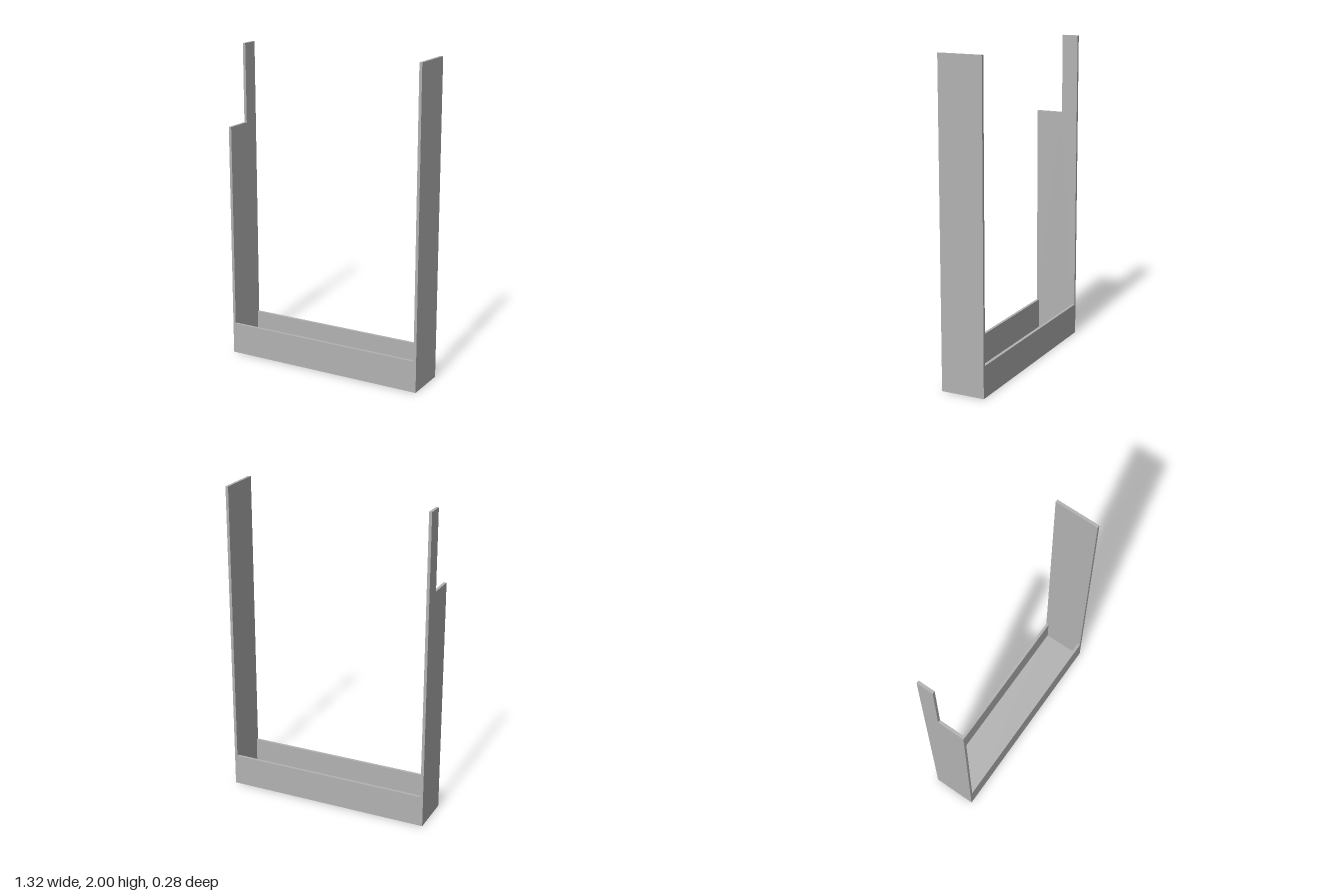
import * as THREE from 'three';

const HALF_W = 0.658, HALF_D = 0.14; // outer half width and half depth
const T = 0.018;                     // board thickness
const FLOOR = 0.005;                 // floor sheet thickness
const RAIL_TOP = 0.2, TOP = 2;

export function createModel() {
  const group = new THREE.Group();
  group.name = 'openFrame';
  const grey = new THREE.MeshStandardMaterial({ color: 0xb3b3b3 });
  grey.name = 'grey board';

  const add = (name, geometry, x, y, z) => {
    const mesh = new THREE.Mesh(geometry, grey);
    mesh.name = name;
    mesh.position.set(x, y, z);
    group.add(mesh);
  };

  // Floor sheet under the whole frame
  add('floor', new THREE.BoxGeometry(2 * HALF_W, FLOOR, 2 * HALF_D), 0, FLOOR / 2, 0);

  // Low front and back rails
  const railH = RAIL_TOP - FLOOR;
  for (const [name, side] of [['frontRail', 1], ['backRail', -1]]) {
    add(name, new THREE.BoxGeometry(2 * HALF_W, railH, T), 0, FLOOR + railH / 2, side * (HALF_D - T / 2));
  }

  // Tall side panels: outline in (z, y), fitted between the rails at the foot
  const panel = (name, topOutline, x) => {
    const inner = HALF_D - T;
    const outline = [
      [-inner, FLOOR], [inner, FLOOR], [inner, RAIL_TOP], [HALF_D, RAIL_TOP],
      ...topOutline,
      [-HALF_D, TOP], [-HALF_D, RAIL_TOP], [-inner, RAIL_TOP],
    ];
    // Shape x is -z, so that turning by +90 degrees lays the depth along x
    const shape = new THREE.Shape(outline.map(([z, y]) => new THREE.Vector2(-z, y)));
    const geometry = new THREE.ExtrudeGeometry(shape, { depth: T, bevelEnabled: false });
    geometry.rotateY(Math.PI / 2);
    add(name, geometry, x, 0, 0);
  };
  panel('leftPanel', [[HALF_D, TOP]], HALF_W - T);
  // The right panel is cut away at its upper front corner
  panel('rightPanel', [[HALF_D, 1.5], [-0.035, 1.5], [-0.035, TOP]], -HALF_W);

  return group;
}
